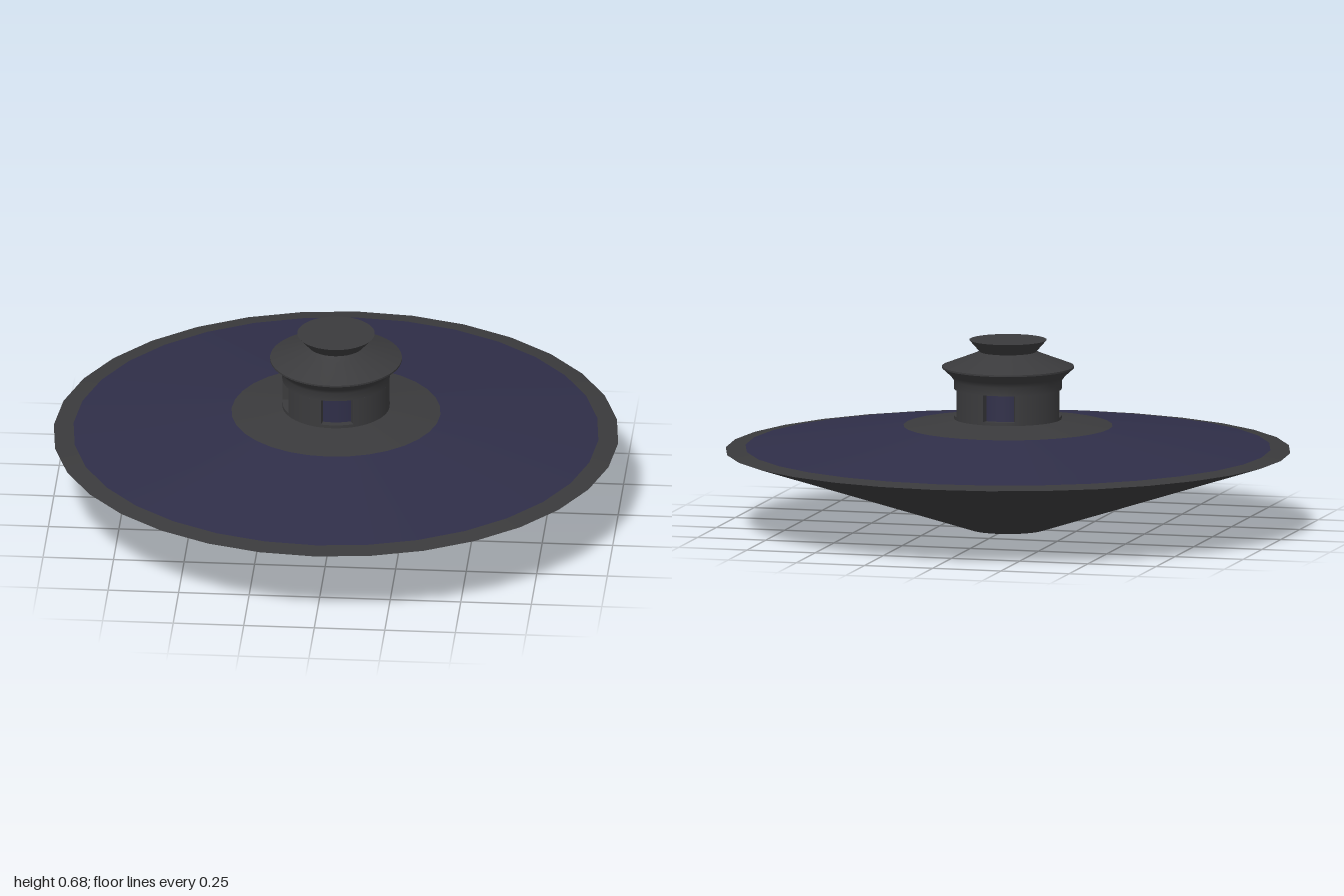
import * as THREE from 'three';

const material = (name, color) => {
  const m = new THREE.MeshStandardMaterial({ color, side: THREE.DoubleSide });
  m.name = name;
  return m;
};
const rad = THREE.MathUtils.degToRad;

export function createModel() {
  const model = new THREE.Group();
  model.name = 'saucer';
  const grey = material('dark grey metal', 0x3a3a3c);
  const blue = material('dark blue panel', 0x2f2e48);

  // Surface of revolution; points run bottom to top so the outside faces out
  const turn = (name, points, mat, sides, from = 0, sweep = 360, parent = model) => {
    const profile = points.map(([r, y]) => new THREE.Vector2(r, y));
    const mesh = new THREE.Mesh(new THREE.LatheGeometry(profile, sides, rad(from), rad(sweep)), mat);
    mesh.name = name;
    parent.add(mesh);
    return mesh;
  };

  // Hull
  turn('hullBase', [[0, 0], [0.135, 0]], grey, 32);
  turn('hullUnderside', [[0.135, 0], [1, 0.28]], grey, 32);
  turn('hullRim', [[1, 0.28], [0.93, 0.29]], grey, 32);
  turn('hullDeck', [[0.93, 0.29], [0.37, 0.369]], blue, 32);
  turn('hullCollar', [[0.37, 0.369], [0.18, 0.395]], grey, 32);

  // Tower wall above and below the window band
  const R = 0.19, inner = 0.165, sill = 0.405, head = 0.5;
  turn('towerFoot', [[R, 0.385], [R, sill]], grey, 64);
  turn('towerWall', [[R, head], [R, 0.53], [0.202, 0.547], [0.233, 0.575]], grey, 64);
  turn('windowSill', [[R, sill], [inner, sill]], grey, 64);
  turn('windowHead', [[inner, head], [R, head]], grey, 64);

  // Four recessed windows with wall piers between them
  const centres = [5.5, 105, 185.5, 285], half = 17.5;
  centres.forEach((c, i) => {
    const next = i < 3 ? centres[i + 1] : centres[0] + 360;
    const start = c + half;
    turn('pier', [[R, sill], [R, head]], grey, 16, start, next - half - start);
    turn('windowPane', [[inner, sill], [inner, head]], blue, 8, c - half, half * 2);
    for (const side of [-1, 1]) {
      const jamb = new THREE.Mesh(new THREE.PlaneGeometry(R - inner, head - sill), grey);
      const a = rad(c + side * half), mid = (R + inner) / 2;
      jamb.position.set(mid * Math.sin(a), (sill + head) / 2, mid * Math.cos(a));
      jamb.rotation.y = a - Math.PI / 2;
      jamb.name = 'windowJamb';
      model.add(jamb);
    }
  });

  // Roof, flared cap and its flat lid
  turn('roofEdge', [[0.233, 0.575], [0.233, 0.581]], grey, 64);
  turn('roof', [[0.233, 0.581], [0.13, 0.62], [0.1, 0.633]], grey, 64);
  turn('capFlare', [[0.1, 0.633], [0.137, 0.675]], grey, 64);
  turn('capLid', [[0.137, 0.675], [0, 0.675]], grey, 64);

  return model;
}
